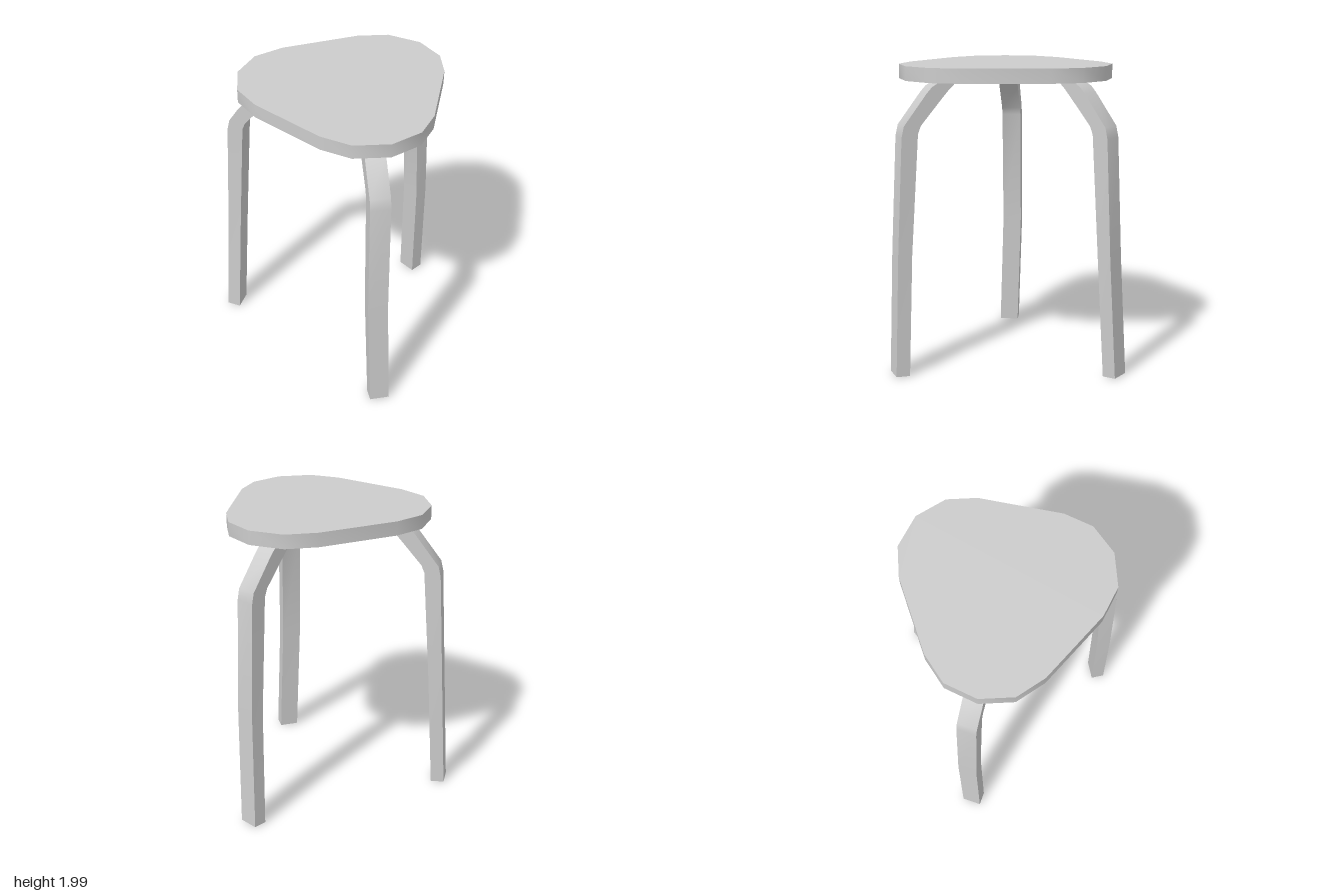
import * as THREE from 'three';
import { toCreasedNormals } from 'three/addons/utils/BufferGeometryUtils.js';

const material = new THREE.MeshStandardMaterial({ color: 0xcccccc });
const CREASE = 0.65;

// Rounded triangular seat: outline in x and z, extruded downwards
function createSeat() {
  const half = [[0.72, 0.27], [0.67, 0.46], [0.52, 0.615], [0.3, 0.675], [0.1, 0.62], [-0.35, 0.36], [-0.5, 0.213]];
  const outline = [
    ...half.map(([x, z]) => new THREE.Vector2(x, z + 0.012)),
    new THREE.Vector2(-0.555, 0.012),
    ...half.slice().reverse().map(([x, z]) => new THREE.Vector2(x, 0.012 - z)),
  ];
  const geometry = new THREE.ExtrudeGeometry(new THREE.Shape(outline), { depth: 0.09, bevelEnabled: false });
  geometry.rotateX(Math.PI / 2).translate(0, 2, 0);
  return new THREE.Mesh(toCreasedNormals(geometry, CREASE), material);
}

// Bent rectangular leg, swept from the foot to its end inside the seat
function createLegGeometry() {
  const halfWidth = 0.064;
  const twist = 0.13;
  // outer radius, outer height, inner radius, inner height, sideways lean
  const sections = [
    [0.847, 0.015, 0.757, 0.01, 0.027],
    [0.807, 0.8, 0.715, 0.8, 0],
    [0.768, 1.56, 0.662, 1.58, 0],
    [0.752, 1.63, 0.642, 1.63, 0],
    [0.6, 1.83, 0.51, 1.785, 0],
    [0.565, 1.868, 0.45, 1.853, 0],
    [0.51, 1.9, 0.415, 1.885, 0],
    [0.45, 1.93, 0.36, 1.908, 0],
    [0.4, 1.95, 0.31, 1.918, 0],
  ];
  const positions = [];
  const index = [];
  const quad = (a, b, c, d) => index.push(a, b, c, a, c, d);
  sections.forEach(([outerR, outerY, innerR, innerY, lean], row) => {
    const corners = [[outerR, outerY, 1], [outerR, outerY, -1], [innerR, innerY, -1], [innerR, innerY, 1]];
    for (const [r, y, side] of corners) {
      const z = -0.035 + lean - (r - 0.71) * twist + side * halfWidth;
      positions.push(-(r + side * halfWidth * twist), y, z);
    }
    if (row === 0) return;
    for (let i = 0; i < 4; i++) {
      const a = (row - 1) * 4 + i;
      const b = (row - 1) * 4 + (i + 1) % 4;
      quad(b, a, a + 4, b + 4);
    }
  });
  const last = (sections.length - 1) * 4;
  quad(0, 1, 2, 3);
  quad(last + 3, last + 2, last + 1, last);

  const geometry = new THREE.BufferGeometry();
  geometry.setAttribute('position', new THREE.Float32BufferAttribute(positions, 3));
  geometry.setIndex(index);
  return toCreasedNormals(geometry, CREASE);
}

export function createModel() {
  const stool = new THREE.Group();
  stool.name = 'stool';

  const seat = createSeat();
  seat.name = 'seat';
  stool.add(seat);

  // Three equal legs around the seat centre
  const legGeometry = createLegGeometry();
  ['rightLeg', 'frontLeftLeg', 'backLeftLeg'].forEach((name, i) => {
    const leg = new THREE.Mesh(legGeometry, material);
    leg.name = name;
    leg.position.set(0.13, 0, -0.005);
    leg.rotation.y = i * Math.PI * 2 / 3;
    stool.add(leg);
  });
  return stool;
}
